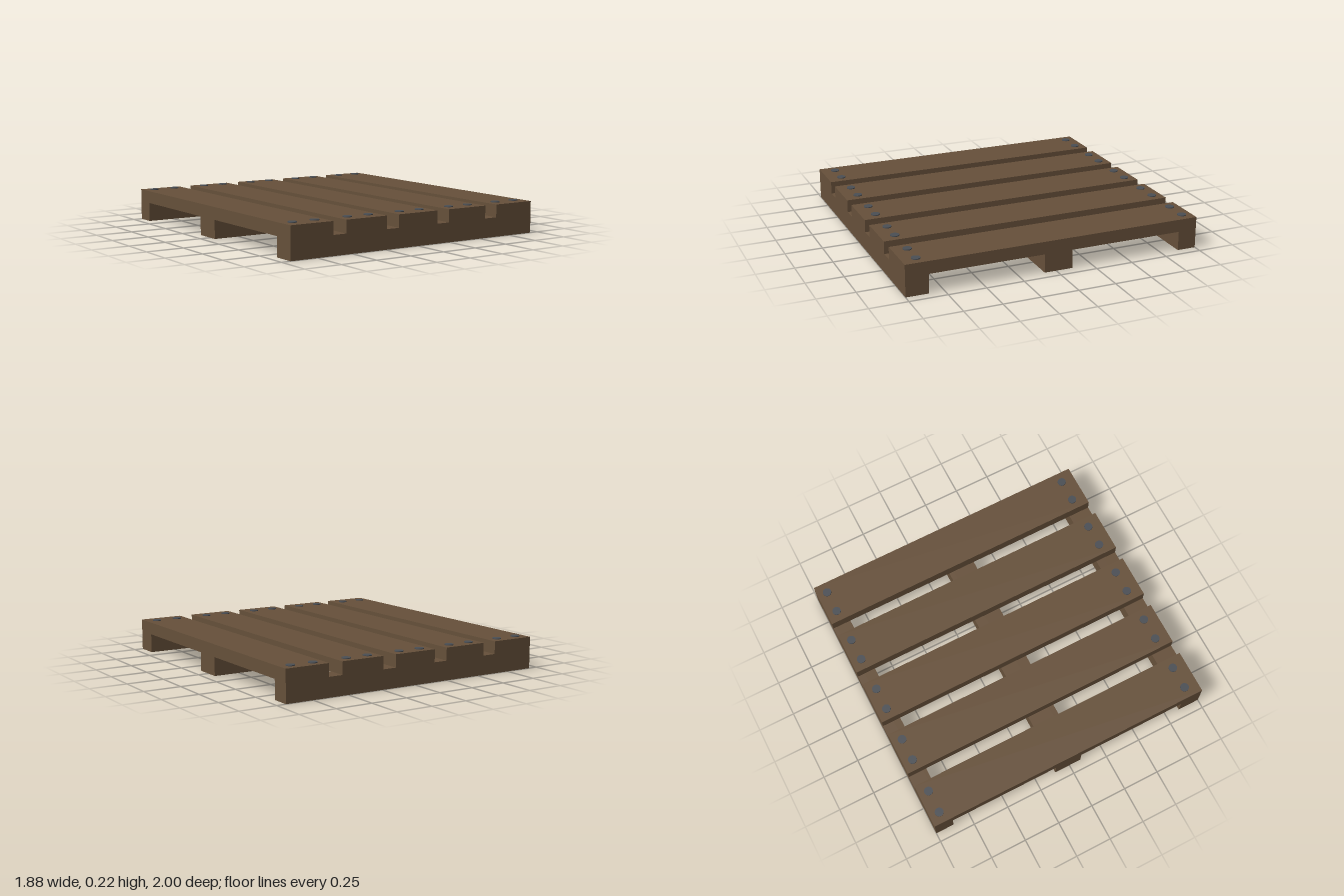
import * as THREE from 'three';

const wood = new THREE.MeshStandardMaterial({ color: 0x66503a });
const steel = new THREE.MeshStandardMaterial({ color: 0x4a4e54 });

const SLAT_BOTTOM = 0.128, SLAT_TOP = 0.212, HALF_WIDTH = 0.938;

// Box given by its extents along each axis
function board(name, [x0, x1], [y0, y1], [z0, z1]) {
  const mesh = new THREE.Mesh(new THREE.BoxGeometry(x1 - x0, y1 - y0, z1 - z0), wood);
  mesh.position.set((x0 + x1) / 2, (y0 + y1) / 2, (z0 + z1) / 2);
  mesh.name = name;
  return mesh;
}

export function createModel() {
  const pallet = new THREE.Group();
  pallet.name = 'pallet';

  // Three bearers running across the width
  const across = [-HALF_WIDTH, HALF_WIDTH];
  pallet.add(
    board('frontBearer', across, [0, SLAT_BOTTOM], [0.85, 1]),
    board('middleBearer', across, [0.004, SLAT_BOTTOM], [-0.108, 0.083]),
    board('backBearer', across, [0, SLAT_BOTTOM], [-1, -0.873])
  );

  // Five deck slats, each with a pair of nails at both ends
  const nailGeometry = new THREE.CylinderGeometry(0.029, 0.029, 0.012, 24);
  for (let i = 0; i < 5; i++) {
    const x = (i - 2) * 0.394;
    pallet.add(board('deckSlat', [x - 0.15, x + 0.15], [SLAT_BOTTOM, SLAT_TOP], [-1, 1]));
    for (const z of [-0.932, 0.905]) {
      for (const dx of [-0.078, 0.078]) {
        const nail = new THREE.Mesh(nailGeometry, steel);
        nail.position.set(x + dx, SLAT_TOP, z);
        nail.name = 'nailHead';
        pallet.add(nail);
      }
    }
  }
  return pallet;
}
